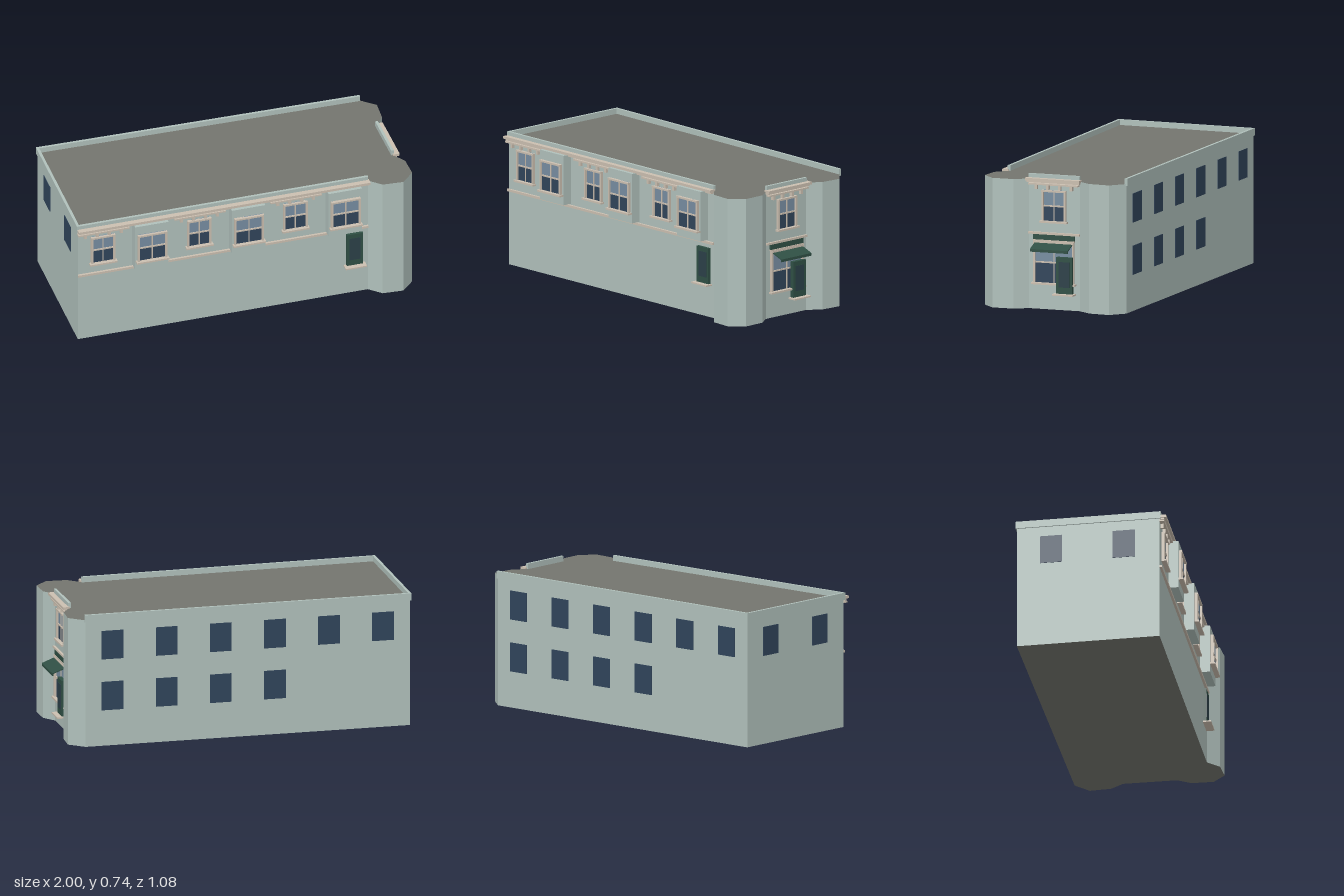
import * as THREE from 'three';

const mat = (color) => new THREE.MeshStandardMaterial({ color });
const M = {
  wall: mat(0xb0c0bb), trim: mat(0xcbbfb0), roof: mat(0x74756e),
  glass: mat(0x30445a), sky: mat(0x778da1), green: mat(0x2f4f44), dark: mat(0x2b4048),
};

// Footprint corners as [x, z], running along the front, round the right end, then the back
const FRONT_L = [-0.877, 0.503], FRONT_R = [0.748, 0.238];
const ENTRY_L = [0.915, 0.012], ENTRY_R = [0.867, -0.28];
const BACK_R = [0.805, -0.537], BACK_L = [-0.992, -0.275];
const FOOTPRINT = [
  FRONT_L, FRONT_R, [0.823, 0.288], [0.938, 0.277], [0.997, 0.195], [0.975, 0.075],
  ENTRY_L, ENTRY_R, [0.907, -0.362], [0.896, -0.48], BACK_R, BACK_L,
];

// Box from x centre, y range and z range, in the frame of a wall
function box(parent, name, m, x, w, y0, y1, z0, z1) {
  const mesh = new THREE.Mesh(new THREE.BoxGeometry(w, y1 - y0, z1 - z0), m);
  mesh.position.set(x, (y0 + y1) / 2, (z0 + z1) / 2);
  mesh.name = name;
  parent.add(mesh);
  return mesh;
}

function sub(parent, name, x = 0, z = 0) {
  const g = new THREE.Group();
  g.name = name;
  g.position.set(x, 0, z);
  parent.add(g);
  return g;
}

// Group whose x runs along a wall from a to b and whose z points outwards
function wallFrame(parent, name, a, b) {
  const g = sub(parent, name, a[0], a[1]);
  g.rotation.y = -Math.atan2(b[1] - a[1], b[0] - a[0]);
  g.userData.length = Math.hypot(b[0] - a[0], b[1] - a[1]);
  return g;
}

// Sash window with a light upper pane, frame, glazing bars and sill
function sashWindow(parent, x, z, w, y0, y1) {
  const g = sub(parent, 'sashWindow', x, z);
  const mid = (y0 + y1) / 2, t = 0.01;
  box(g, 'lowerPane', M.glass, 0, w - t, y0, mid, -0.004, 0.004);
  box(g, 'upperPane', M.sky, 0, w - t, mid, y1, -0.004, 0.004);
  for (const s of [-1, 1]) box(g, 'frameSide', M.trim, s * (w - t) / 2, t, y0, y1, 0, 0.016);
  box(g, 'frameTop', M.trim, 0, w, y1 - t, y1, 0, 0.018);
  box(g, 'meetingRail', M.trim, 0, w - t, mid - 0.004, mid + 0.004, 0, 0.01);
  box(g, 'glazingBar', M.trim, 0, 0.006, y0, y1 - t, 0, 0.009);
  box(g, 'sill', M.trim, 0, w + 0.018, y0 - 0.006, y0 + 0.004, 0, 0.026);
}

// Hood moulding on four small brackets
function hood(parent, x) {
  const g = sub(parent, 'hood', x);
  box(g, 'hoodMoulding', M.trim, 0, 0.29, 0.685, 0.694, 0, 0.026);
  for (const k of [-1.5, -0.5, 0.5, 1.5]) {
    box(g, 'bracket', M.trim, k * 0.068, 0.015, 0.66, 0.685, 0, 0.018);
  }
}

function cornice(parent, x, w) {
  box(parent, 'cornice', M.trim, x, w, 0.708, 0.722, 0, 0.037);
  box(parent, 'corniceMoulding', M.trim, x, w - 0.01, 0.698, 0.708, 0, 0.024);
}

// Green framed panel on a projecting sill
function displayPanel(parent, x, z, y0) {
  const g = sub(parent, 'displayPanel', x, z);
  box(g, 'panelFrame', M.green, 0, 0.092, y0, y0 + 0.2, -0.012, 0.012);
  box(g, 'panelInset', M.dark, 0, 0.062, y0 + 0.035, y0 + 0.175, 0.01, 0.014);
  box(g, 'panelSill', M.trim, 0, 0.12, y0 - 0.008, y0, -0.012, 0.04);
}

function parapet(parent, extra = 0) {
  const L = parent.userData.length;
  box(parent, 'parapet', M.wall, L / 2, L + extra, 0.703, 0.743, -0.008, 0.007);
}

export function createModel() {
  const model = new THREE.Group();
  model.name = 'building';

  // Walls and roof
  const shape = new THREE.Shape(FOOTPRINT.map(([x, z]) => new THREE.Vector2(x, -z)));
  const geo = new THREE.ExtrudeGeometry(shape, { depth: 0.713, bevelEnabled: false });
  geo.rotateX(-Math.PI / 2);
  const body = new THREE.Mesh(geo, [M.roof, M.wall]);
  body.name = 'wallsAndRoof';
  model.add(body);

  // Long front: three plain windows alternating with three shallow bays
  const front = wallFrame(model, 'frontWall', FRONT_L, FRONT_R);
  const L = front.userData.length;
  parapet(front);
  cornice(front, L / 2, L + 0.01);
  box(front, 'stringCourse', M.trim, L / 2, L, 0.411, 0.424, 0, 0.013);
  for (let i = 0; i < 3; i++) {
    const x = 0.141 + i * 0.546;
    hood(front, x);
    sashWindow(front, x, 0, 0.136, 0.484, 0.656);
    const bx = 0.404 + i * 0.549;
    box(front, 'bay', M.wall, bx, 0.19, 0.43, 0.707, 0, 0.055);
    sashWindow(front, bx, 0.055, 0.166, 0.484, 0.656);
  }
  displayPanel(front, 1.569, 0.004, 0.187);

  // Entrance bay between the rounded corners
  const entry = wallFrame(model, 'entranceWall', ENTRY_L, ENTRY_R);
  const E = entry.userData.length, c = E / 2;
  parapet(entry);
  cornice(entry, c, E + 0.02);
  hood(entry, c);
  sashWindow(entry, c, 0, 0.14, 0.484, 0.657);
  box(entry, 'stringCourse', M.trim, c, E, 0.412, 0.424, 0, 0.013);
  box(entry, 'signPanel', M.green, c, 0.24, 0.383, 0.412, 0, 0.012);
  box(entry, 'panelLedge', M.trim, c, 0.24, 0.376, 0.383, 0, 0.016);
  sashWindow(entry, c, 0, 0.236, 0.143, 0.376);
  displayPanel(entry, 0.217, 0.022, 0.095);

  // Sloping awning with a short valance, extruded from its side profile
  const profile = new THREE.Shape([[0, 0.373], [0.085, 0.341], [0.085, 0.326],
    [0.08, 0.326], [0.08, 0.337], [0, 0.367]].map((p) => new THREE.Vector2(...p)));
  const awningGeo = new THREE.ExtrudeGeometry(profile, { depth: 0.22, bevelEnabled: false });
  awningGeo.rotateY(-Math.PI / 2);
  const awning = new THREE.Mesh(awningGeo, M.green);
  awning.name = 'awning';
  awning.position.x = c + 0.11;
  entry.add(awning);

  // Back wall: six upper windows, four lower ones
  const back = wallFrame(model, 'backWall', BACK_R, BACK_L);
  parapet(back, 0.01);
  for (let i = 0; i < 6; i++) {
    const x = back.userData.length * (i + 0.5) / 6;
    box(back, 'upperWindow', M.glass, x, 0.122, 0.487, 0.647, -0.003, 0.003);
    if (i < 4) box(back, 'lowerWindow', M.glass, x, 0.122, 0.2, 0.36, -0.003, 0.003);
  }

  // Left end wall with two upper windows
  const end = wallFrame(model, 'leftWall', BACK_L, FRONT_L);
  parapet(end, 0.014);
  for (const f of [0.24, 0.75]) {
    box(end, 'endWindow', M.glass, end.userData.length * f, 0.122, 0.487, 0.647, -0.003, 0.003);
  }
  return model;
}
